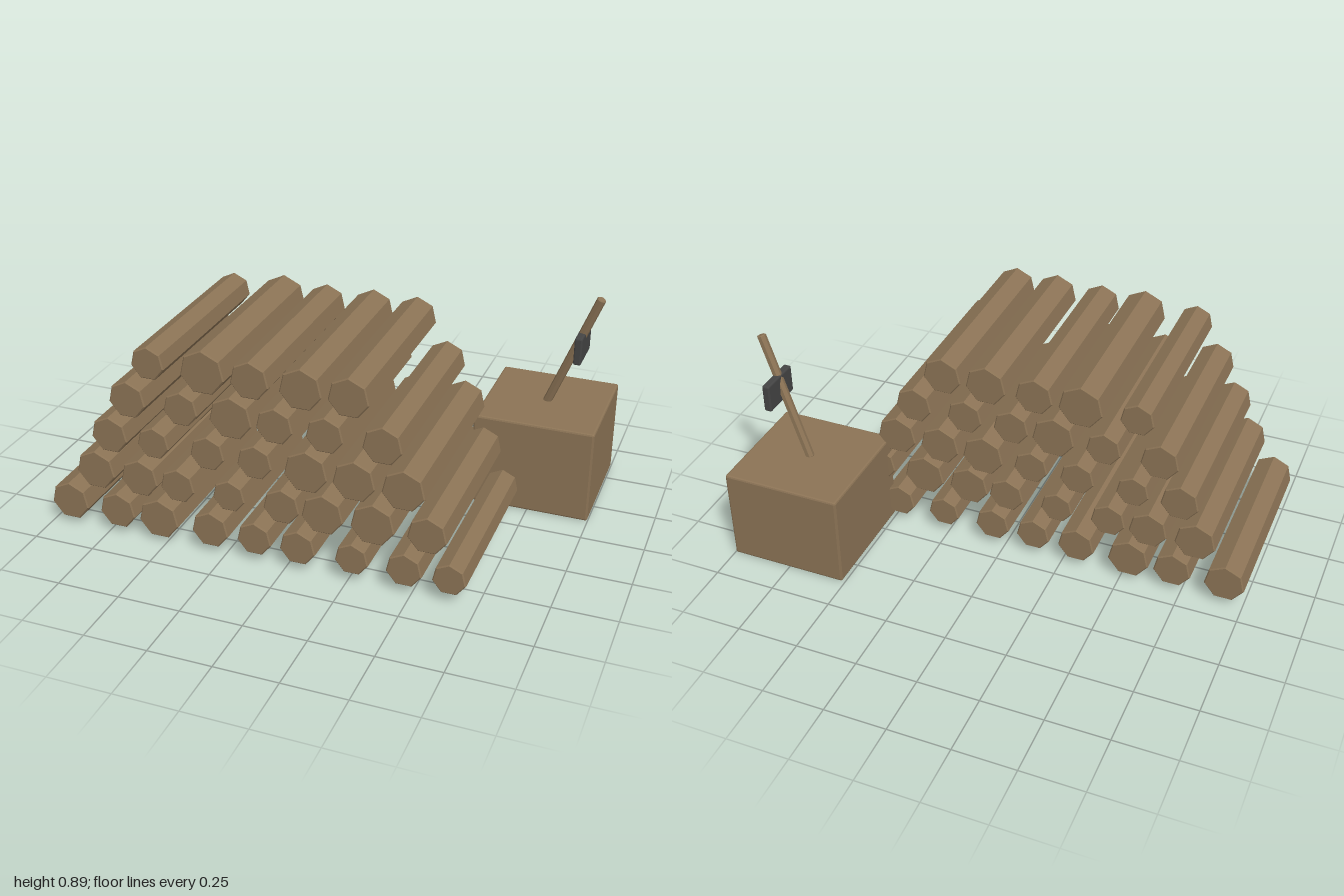
import * as THREE from 'three';
import { RoundedBoxGeometry } from 'three/addons/geometries/RoundedBoxGeometry.js';

const material = (name, color, flatShading = true) => {
  const m = new THREE.MeshStandardMaterial({ color, flatShading });
  m.name = name;
  return m;
};

// Seven-sided rod along y with a small chamfer at both ends
function rodGeometry(r, length, bevel) {
  const h = length / 2;
  const profile = [[0, -h], [r - bevel, -h], [r, bevel - h], [r, h - bevel], [r - bevel, h], [0, h]];
  return new THREE.LatheGeometry(profile.map(([x, y]) => new THREE.Vector2(x, y)), 7);
}

export function createModel() {
  const model = new THREE.Group();
  const wood = material('wood', 0x8b7355);
  const iron = material('dark iron', 0x444444);

  const add = (parent, name, geometry, mat, x, y, z) => {
    const mesh = new THREE.Mesh(geometry, mat);
    mesh.name = name;
    mesh.position.set(x, y, z);
    parent.add(mesh);
    return mesh;
  };

  // Log pile: each row lists [x, radius] of its logs, from the bottom up
  const rows = [
    [[-0.92, 0.082], [-0.709, 0.077], [-0.529, 0.085], [-0.31, 0.077], [-0.126, 0.071],
      [0.051, 0.073], [0.267, 0.067], [0.471, 0.071], [0.644, 0.066]],
    [[-0.791, 0.083], [-0.602, 0.079], [-0.439, 0.072], [-0.225, 0.067], [-0.011, 0.074],
      [0.152, 0.084], [0.348, 0.087], [0.556, 0.077]],
    [[-0.719, 0.077], [-0.532, 0.067], [-0.307, 0.071], [-0.115, 0.071], [0.088, 0.087],
      [0.275, 0.084], [0.463, 0.084]],
    [[-0.631, 0.077], [-0.409, 0.071], [-0.206, 0.087], [-0.032, 0.074], [0.163, 0.074],
      [0.382, 0.077]],
    [[-0.535, 0.068], [-0.313, 0.09], [-0.126, 0.077], [0.072, 0.084], [0.254, 0.08]],
  ];
  const logPile = new THREE.Group();
  logPile.name = 'logPile';
  rows.forEach((row, level) => row.forEach(([x, r]) => {
    const log = add(logPile, 'log', rodGeometry(r, 0.78, 0.005), wood, x, 0.1 + level * 0.1665, 0.22);
    log.rotation.x = -Math.PI / 2; // one ridge points up
  }));
  model.add(logPile);

  // Chopping block
  add(model, 'choppingBlock', new RoundedBoxGeometry(0.486, 0.39, 0.486, 1, 0.008), wood, 0.755, 0.195, -0.369);

  // Axe leaning out of the block
  const axe = new THREE.Group();
  axe.name = 'axe';
  const foot = new THREE.Vector3(0.753, 0.382, -0.366);
  const tip = new THREE.Vector3(0.948, 0.88, -0.318);
  const along = tip.clone().sub(foot);
  const mid = foot.clone().add(tip).multiplyScalar(0.5);
  const handle = add(axe, 'axeHandle', rodGeometry(0.0185, along.length(), 0.004), wood, mid.x, mid.y, mid.z);
  handle.quaternion.setFromUnitVectors(new THREE.Vector3(0, 1, 0), along.normalize());
  add(axe, 'axeHead', new RoundedBoxGeometry(0.031, 0.114, 0.174, 1, 0.006), iron, 0.881, 0.668, -0.347);
  model.add(axe);

  return model;
}
